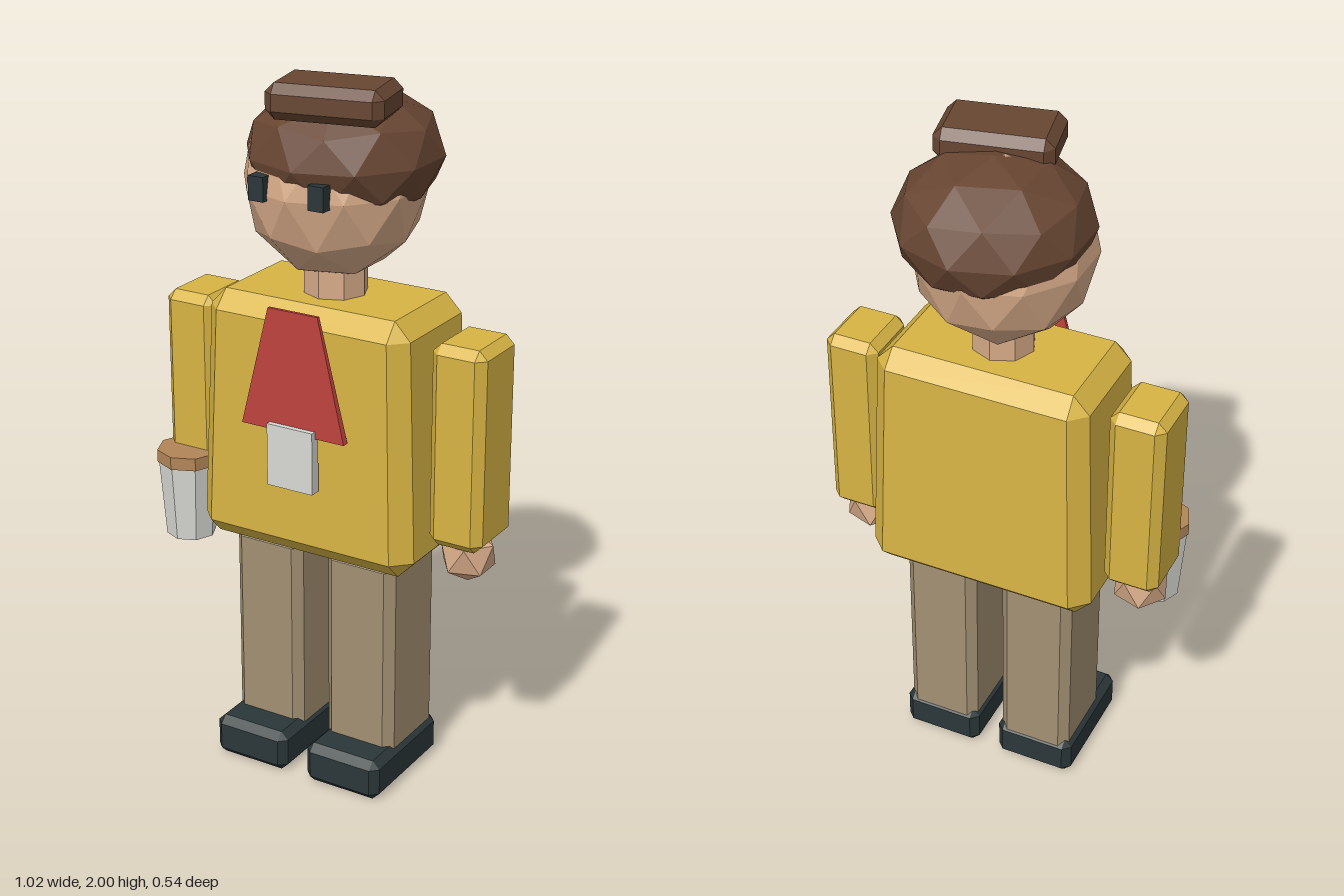
import * as THREE from 'three';
import { ConvexGeometry } from 'three/addons/geometries/ConvexGeometry.js';

const mat = (name, color) => {
  const m = new THREE.MeshStandardMaterial({ color, flatShading: true });
  m.name = name;
  return m;
};

// Box with chamfered edges; the top may be narrowed by a taper factor
function chamferBox(w, h, d, c, taper = 1) {
  const points = [];
  for (const sx of [-1, 1]) for (const sy of [-1, 1]) for (const sz of [-1, 1]) {
    for (const [a, b, e] of [[0, c, c], [c, 0, c], [c, c, 0]]) {
      const y = sy * (h / 2 - b);
      const k = 1 + (taper - 1) * (y / h + 0.5);
      points.push(new THREE.Vector3(sx * (w / 2 - a) * k, y, sz * (d / 2 - e) * k));
    }
  }
  return new ConvexGeometry(points);
}

// Faceted ball with a vertex at each pole
function facetBall(rx, ry, rz, detail) {
  return new THREE.IcosahedronGeometry(1, detail)
    .rotateZ(Math.atan(2 / (1 + Math.sqrt(5))))
    .rotateY(Math.PI)
    .scale(rx, ry, rz);
}

export function createModel() {
  const model = new THREE.Group();
  model.name = 'figure';

  const yellow = mat('yellow jacket', 0xd8b444);
  const skin = mat('skin', 0xd6aa88);
  const hairBrown = mat('brown hair', 0x684632);
  const tan = mat('tan trousers', 0xa39073);
  const dark = mat('dark slate', 0x2b3638);
  const red = mat('red cloth', 0xbf423c);
  const pale = mat('pale grey', 0xd8d9d4);
  const lidBrown = mat('light brown lid', 0xb28659);

  const add = (name, geometry, material, x, y, z) => {
    const mesh = new THREE.Mesh(geometry, material);
    mesh.name = name;
    mesh.position.set(x, y, z);
    model.add(mesh);
    return mesh;
  };

  // Body
  add('torso', chamferBox(0.676, 0.72, 0.402, 0.05, 0.91), yellow, 0.006, 1.04, 0.016);
  add('neck', new THREE.CylinderGeometry(0.088, 0.088, 0.14, 8), skin, 0.008, 1.44, 0.018);

  // Limbs, mirrored about the body's centre line
  for (const [side, s] of [['left', 1], ['right', -1]]) {
    const cx = 0.006;
    add(side + 'Arm', chamferBox(0.16, 0.575, 0.2, 0.025), yellow, cx + s * 0.421, 1.053, 0.015);
    add(side + 'Hand', facetBall(0.084, 0.084, 0.084, 0), skin, cx + s * 0.421, 0.725, 0.017);
    add(side + 'Leg', chamferBox(0.216, 0.68, 0.252, 0.025), tan, cx + s * 0.149, 0.35, 0.021);
    add(side + 'Shoe', chamferBox(0.236, 0.122, 0.356, 0.022), dark, cx + s * 0.151, 0.061, 0.068);
    add(side + 'Eye', new THREE.BoxGeometry(0.046, 0.066, 0.045), dark, cx + s * 0.09, 1.726, 0.24);
  }

  // Head, hair cap and tilted quiff
  add('head', facetBall(0.25, 0.26, 0.25, 1), skin, 0.007, 1.706, 0.018);
  add('hair', facetBall(0.268, 0.185, 0.268, 1), hairBrown, 0.026, 1.785, 0);
  const quiff = add('quiff', chamferBox(0.318, 0.095, 0.2, 0.025), hairBrown, 0.069, 1.9525, 0.127);
  quiff.rotation.y = 0.21;

  // Red bib, narrowing toward the neck
  const bib = new THREE.BoxGeometry(0.32, 0.34, 0.02);
  const p = bib.attributes.position;
  for (let i = 0; i < p.count; i++) {
    if (p.getY(i) > 0) p.setXYZ(i, p.getX(i) * 0.48, p.getY(i), p.getZ(i) * 0.48);
  }
  add('bib', bib, red, 0.006, 1.23, 0.229);
  add('badge', new THREE.BoxGeometry(0.142, 0.178, 0.032), pale, 0.006, 0.991, 0.238);

  // Cup with lid, held in front of the right hand
  add('cup', new THREE.CylinderGeometry(0.088, 0.071, 0.225, 8), pale, -0.417, 0.7375, 0.12);
  add('cupLid', new THREE.CylinderGeometry(0.092, 0.092, 0.037, 8), lidBrown, -0.417, 0.867, 0.12);

  return model;
}
